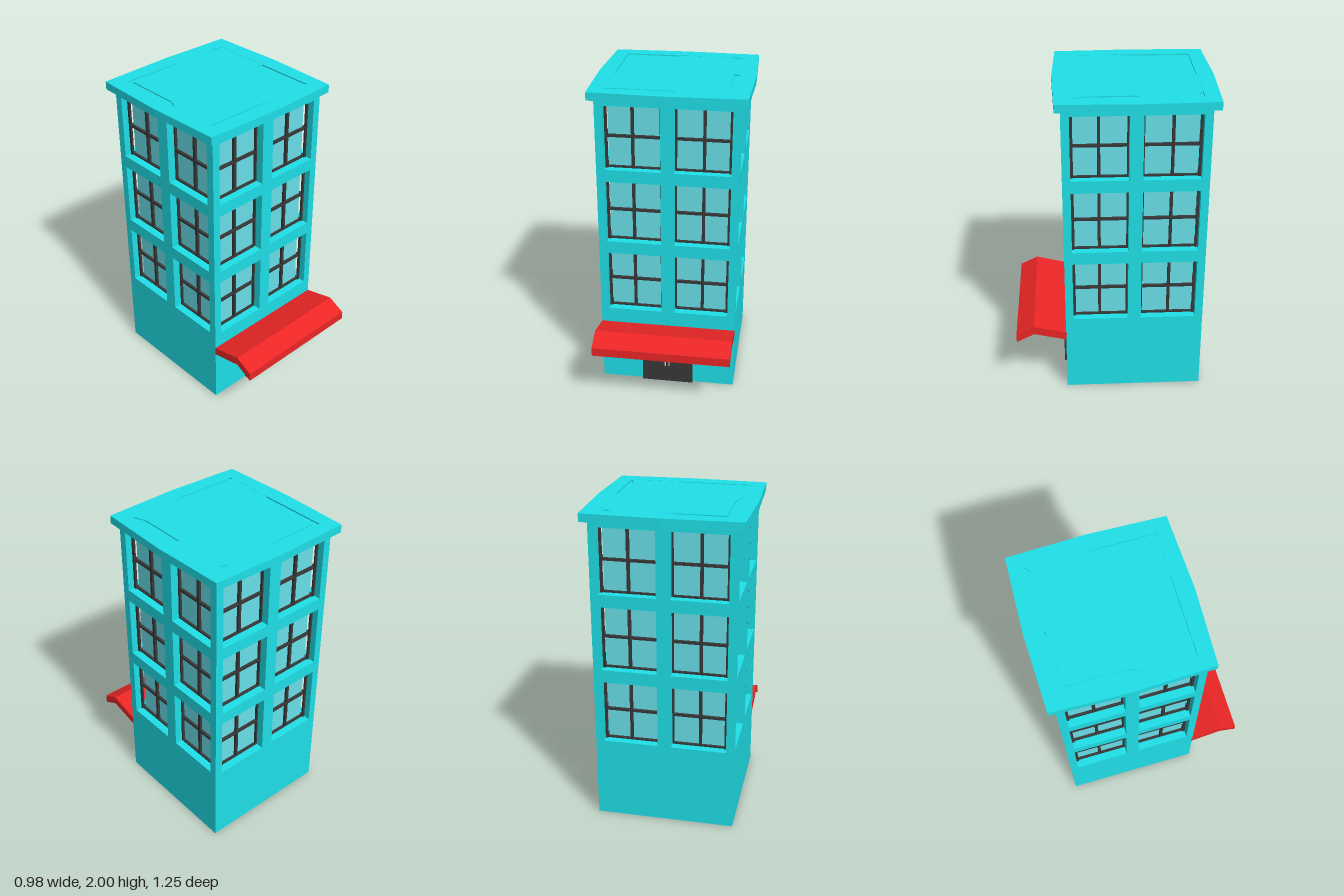
import * as THREE from 'three';

const mat = (color) => new THREE.MeshStandardMaterial({ color, flatShading: true });
const CZ = -0.131;     // centre of the tower in z
const HALF = 0.437;    // half width of the tower
const DEPTH = 0.05;    // thickness of the walls
const CORE = 0.37;     // half width of the glazed core

export function createModel() {
  const teal = mat(0x1fe0e8), dark = mat(0x383838), glass = mat(0x6ae0ea);
  const red = mat(0xec2626), grey = mat(0xcccccc);
  const root = new THREE.Group();
  root.name = 'building';

  const add = (parent, name, geo, m, x = 0, y = 0, z = 0) => {
    const mesh = new THREE.Mesh(geo, m);
    mesh.name = name;
    mesh.position.set(x, y, z);
    parent.add(mesh);
    return mesh;
  };
  const box = (parent, name, m, w, h, d, x, y, z) =>
    add(parent, name, new THREE.BoxGeometry(w, h, d), m, x, y, z);
  const points = (list) => list.map(([x, y]) => new THREE.Vector2(x, y));
  const extrude = (shape, depth) => new THREE.ExtrudeGeometry(shape, { depth, bevelEnabled: false });

  // Glazed core seen through the openings, and the base plate
  box(root, 'glassCore', glass, 2 * CORE, 1.95, 2 * CORE, 0, 0.975, CZ);
  box(root, 'basePlate', glass, 2 * HALF, 0.002, 2 * HALF, 0, 0.001, CZ);

  // One wall with six window openings, shared by the four sides
  const W = 0.353, H = 0.407, rows = [0.733, 1.222, 1.708], cols = [-0.218, 0.218];
  const wallShape = new THREE.Shape(points([[-HALF, 0.002], [HALF, 0.002], [HALF, 1.95], [-HALF, 1.95]]));
  for (const y of rows) for (const x of cols) {
    wallShape.holes.push(new THREE.Path(points([
      [x - W / 2, y - H / 2], [x - W / 2, y + H / 2], [x + W / 2, y + H / 2], [x + W / 2, y - H / 2]])));
  }
  const wallGeo = extrude(wallShape, DEPTH);

  // Window frame set behind the wall: thin border and crossbars
  const FD = HALF - DEPTH - CORE;
  const addWindow = (parent, x, y) => {
    const g = new THREE.Group();
    g.name = 'windowFrame';
    g.position.set(x, y, CORE + FD / 2);
    parent.add(g);
    const t = 0.01;
    for (const s of [-1, 1]) {
      box(g, 'frameRail', dark, W, t, FD, 0, s * (H - t) / 2, 0);
      box(g, 'frameStile', dark, t, H, FD, s * (W - t) / 2, 0, 0);
    }
    box(g, 'verticalBar', dark, 0.018, H, FD, 0, 0, 0);
    box(g, 'horizontalBar', dark, W, 0.016, FD, 0, 0, 0);
  };

  ['frontWall', 'leftWall', 'backWall', 'rightWall'].forEach((name, i) => {
    const side = new THREE.Group();
    side.name = name;
    side.position.z = CZ;
    side.rotation.y = i * Math.PI / 2;
    root.add(side);
    add(side, 'wall', wallGeo, teal, 0, 0, HALF - DEPTH);
    for (const y of rows) for (const x of cols) addWindow(side, x, y);
  });

  // Roof slab with slightly bowed edges, a rim and an inset panel with gaps along its border
  const flat = (list) => points(list.map(([x, z]) => [x, -z]));
  const outline = flat([[-0.475, 0.34], [0, 0.357], [0.475, 0.34], [0.49, -0.135],
    [0.475, -0.61], [0, -0.625], [-0.475, -0.61], [-0.49, -0.135]]);
  const rim = new THREE.Shape(outline);
  rim.holes.push(new THREE.Path(flat([[-0.385, -0.52], [0.385, -0.52], [0.385, 0.25], [-0.385, 0.25]])));
  const panel = new THREE.Shape(flat([[-0.355, -0.497], [-0.355, -0.14], [-0.385, -0.07], [-0.385, 0.236],
    [0, 0.238], [0.09, 0.25], [0.385, 0.25], [0.35, 0.165], [0.35, -0.148], [0.385, -0.135],
    [0.385, -0.52], [0.35, -0.492], [0.29, -0.52], [0, -0.52], [-0.05, -0.497]]));
  const layer = (name, shape, y, h) => {
    add(root, name, extrude(shape, h), teal, 0, y, 0).rotation.x = -Math.PI / 2;
  };
  layer('roofSlab', new THREE.Shape(outline), 1.95, 0.042);
  layer('roofRim', rim, 1.992, 0.008);
  layer('roofPanel', panel, 1.992, 0.007);

  // Bent awning, its profile drawn in z and y and swept across x
  const awning = new THREE.Shape(points([[-0.3, 0.372], [-0.51, 0.422], [-0.625, 0.364],
    [-0.625, 0.421], [-0.51, 0.478], [-0.3, 0.425]]));
  add(root, 'awning', extrude(awning, 2 * HALF), red, -HALF, 0, 0).rotation.y = Math.PI / 2;

  // Double door with a glazed upper half
  const door = new THREE.Group();
  door.name = 'door';
  door.position.z = CZ + HALF;
  root.add(door);
  box(door, 'doorPanel', dark, 0.334, 0.18, 0.016, 0, 0.09, 0.008);
  box(door, 'doorGlass', glass, 0.33, 0.163, 0.008, 0, 0.2615, 0.004);
  for (let i = 0; i < 5; i++) {
    box(door, 'doorBar', dark, 0.008, 0.165, 0.016, -0.163 + i * 0.0815, 0.2625, 0.008);
  }
  for (const y of [0.262, 0.341]) box(door, 'doorRail', dark, 0.334, 0.008, 0.016, 0, y, 0.008);
  for (const s of [-1, 1]) {
    box(door, 'handleGrip', grey, 0.007, 0.035, 0.006, s * 0.012, 0.152, 0.036);
    box(door, 'handleMount', grey, 0.007, 0.007, 0.024, s * 0.012, 0.163, 0.026);
  }
  return root;
}
